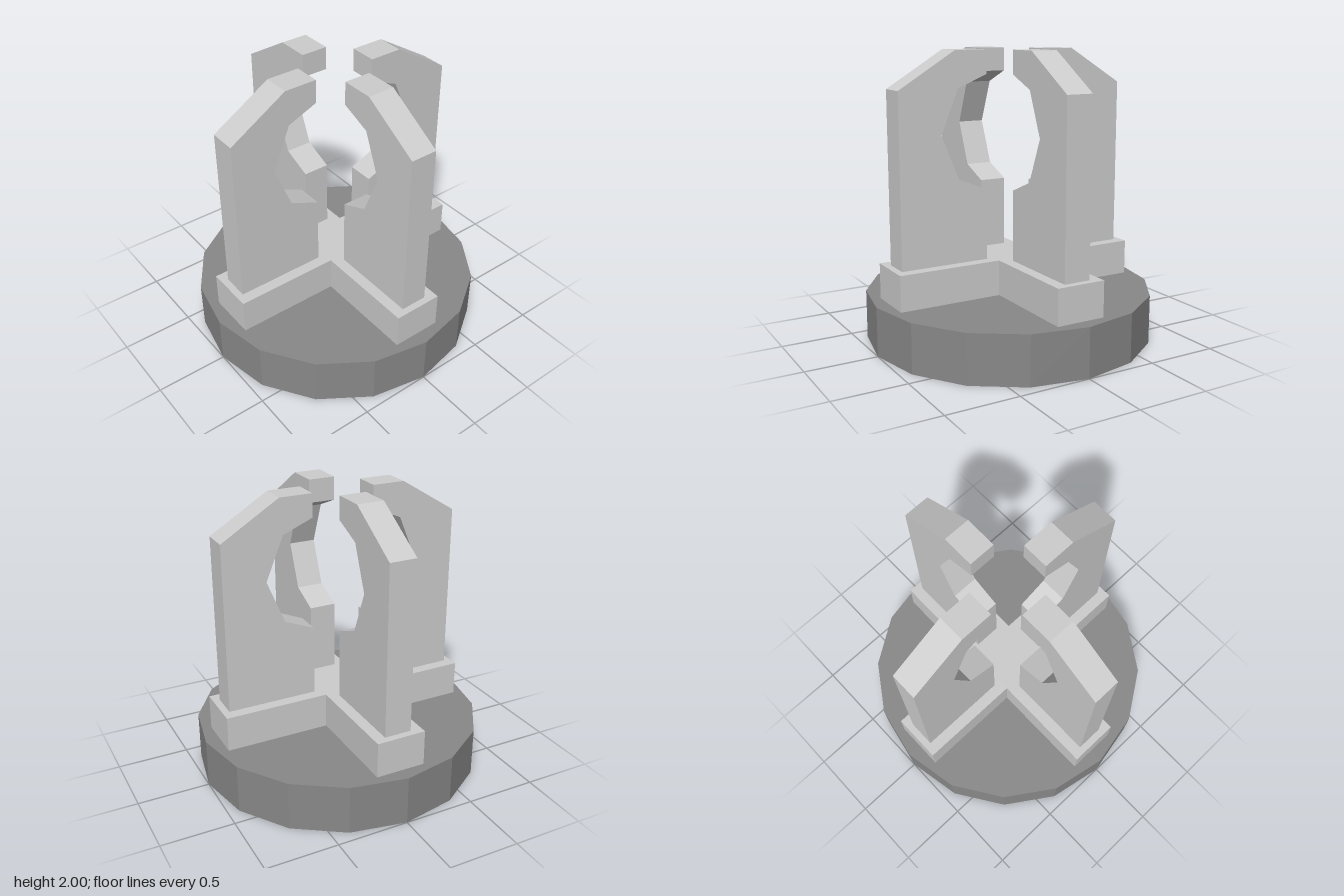
import * as THREE from 'three';

const polygon = (points) => new THREE.Shape(points.map(([x, y]) => new THREE.Vector2(x, y)));

export function createModel() {
  const group = new THREE.Group();
  const darkGrey = new THREE.MeshStandardMaterial({ color: 0x888888, flatShading: true, side: THREE.DoubleSide });
  darkGrey.name = 'dark grey';
  const lightGrey = new THREE.MeshStandardMaterial({ color: 0xcccccc, flatShading: true });
  lightGrey.name = 'light grey';

  const add = (name, geometry, material) => {
    const mesh = new THREE.Mesh(geometry, material);
    mesh.name = name;
    group.add(mesh);
    return mesh;
  };

  const baseTop = 0.34, crossTop = 0.585;

  // Base: sixteen-sided cap, hollow and open underneath
  const sides = 16;
  add('baseWall', new THREE.CylinderGeometry(1, 1, baseTop, sides, 1, true), darkGrey).position.y = baseTop / 2;
  const top = add('baseTop', new THREE.CircleGeometry(1, sides), darkGrey);
  top.rotation.x = -Math.PI / 2;
  top.position.y = baseTop;

  // Cross-shaped plinth
  const l = 0.9, w = 0.173;
  const cross = polygon([
    [l, -w], [l, w], [w, w], [w, l], [-w, l], [-w, w],
    [-l, w], [-l, -w], [-w, -w], [-w, -l], [w, -l], [w, -w],
  ]);
  const crossGeometry = new THREE.ExtrudeGeometry(cross, { depth: crossTop - baseTop, bevelEnabled: false });
  crossGeometry.rotateX(-Math.PI / 2).translate(0, baseTop, 0);
  add('crossPlinth', crossGeometry, lightGrey);

  // Four claws with a faceted hollow on the inside, one on each arm of the cross
  const thickness = 0.188;
  const claw = polygon([
    [0.222, crossTop], [0.852, crossTop], [0.852, 1.754], [0.45, 2], [0.222, 2],
    [0.222, 1.84], [0.431, 1.754], [0.554, 1.455], [0.431, 1.157], [0.222, 1.07],
  ]);
  const clawGeometry = new THREE.ExtrudeGeometry(claw, { depth: thickness, bevelEnabled: false });
  clawGeometry.translate(0, 0, -thickness / 2);
  ['leftClaw', 'backClaw', 'rightClaw', 'frontClaw'].forEach((name, i) => {
    add(name, clawGeometry, lightGrey).rotation.y = (i * Math.PI) / 2;
  });

  return group;
}
